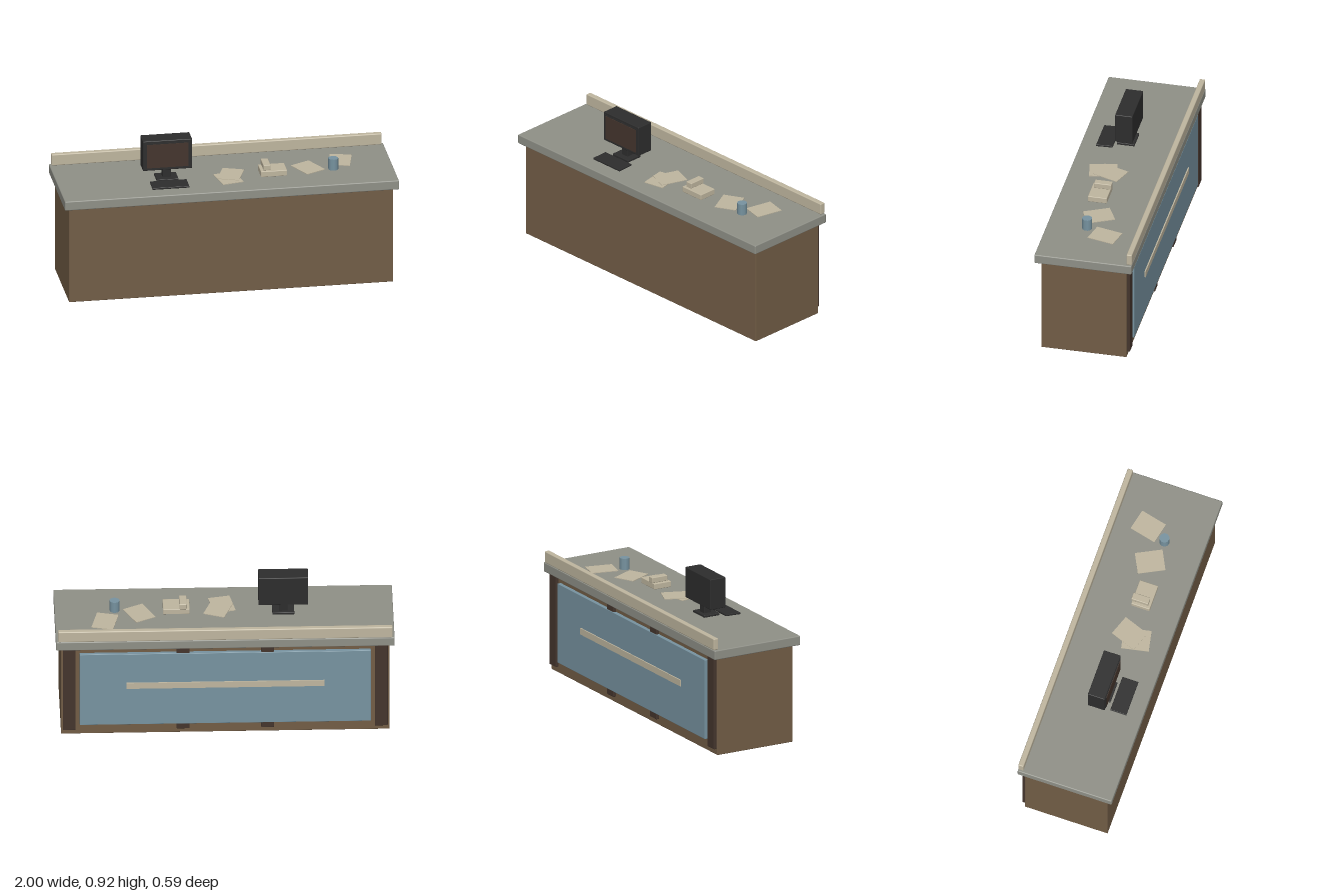
import * as THREE from 'three';
import { RoundedBoxGeometry } from 'three/addons/geometries/RoundedBoxGeometry.js';

function material(name, color) {
  const m = new THREE.MeshStandardMaterial({ color });
  m.name = name;
  return m;
}

export function createModel() {
  const brown = material('wood brown', 0x725d46);
  const darkBrown = material('dark brown', 0x44352d);
  const grey = material('counter grey', 0x8f9087);
  const cream = material('cream', 0xbfb69f);
  const blue = material('dusty blue', 0x7793a0);
  const black = material('charcoal', 0x2d2d2d);

  const desk = new THREE.Group();
  desk.name = 'receptionDesk';

  // Box given by its min and max on each axis, with softened edges when r > 0
  function box(name, mat, [x0, x1], [y0, y1], [z0, z1], r = 0, parent = desk) {
    const size = [x1 - x0, y1 - y0, z1 - z0];
    const geo = r ? new RoundedBoxGeometry(...size, 2, r) : new THREE.BoxGeometry(...size);
    const mesh = new THREE.Mesh(geo, mat);
    mesh.position.set((x0 + x1) / 2, (y0 + y1) / 2, (z0 + z1) / 2);
    mesh.name = name;
    parent.add(mesh);
    return mesh;
  }

  // Cabinet, counter and rear ledge
  box('body', brown, [-0.97, 0.97], [0, 0.602], [-0.257, 0.26], 0.004);
  box('countertop', grey, [-1, 1], [0.602, 0.66], [-0.293, 0.295], 0.006);
  box('rearLedge', cream, [-0.988, 0.988], [0.66, 0.731], [-0.293, -0.26], 0.006);

  // Rear face: four uprights, a wide panel over the middle two, and a rail
  for (const x of [-0.922, -0.25, 0.25, 0.922]) {
    box('upright', darkBrown, [x - 0.038, x + 0.038], [0.036, 0.602], [-0.276, -0.25], 0.004);
  }
  box('rearPanel', blue, [-0.86, 0.86], [0.072, 0.563], [-0.279, -0.25], 0.003);
  box('rearRail', cream, [-0.585, 0.585], [0.325, 0.364], [-0.286, -0.27]);

  // Computer
  const computer = new THREE.Group();
  computer.name = 'computer';
  desk.add(computer);
  box('monitorCase', black, [-0.497, -0.203], [0.732, 0.92], [-0.028, 0.077], 0.004, computer);
  box('screenBezel', black, [-0.483, -0.217], [0.744, 0.905], [0.07, 0.08], 0, computer);
  box('screen', darkBrown, [-0.475, -0.225], [0.75, 0.899], [0.076, 0.083], 0, computer);
  box('monitorNeck', black, [-0.375, -0.325], [0.668, 0.74], [0, 0.05], 0.003, computer);
  box('monitorBase', black, [-0.415, -0.285], [0.66, 0.674], [-0.022, 0.085], 0.003, computer);
  const keyboard = box('keyboard', black, [-0.46, -0.24], [0.661, 0.673], [0.1, 0.2], 0.003, computer);
  keyboard.rotation.x = 0.03;

  // Desk phone
  box('phoneBase', cream, [0.203, 0.36], [0.66, 0.696], [0, 0.115], 0.004);
  box('phoneHandset', cream, [0.22, 0.263], [0.696, 0.73], [-0.005, 0.1], 0.004);

  // Loose papers: x, z, turn, height
  const papers = [
    [0.01, 0.1, 0.2, 0.662],
    [0.033, 0.05, -0.35, 0.665],
    [0.5, 0.016, 0.47, 0.662],
    [0.705, -0.067, -0.23, 0.662],
  ];
  for (const [x, z, turn, y] of papers) {
    const sheet = new THREE.Mesh(new THREE.BoxGeometry(0.13, 0.004, 0.165), cream);
    sheet.position.set(x, y, z);
    sheet.rotation.y = turn;
    sheet.name = 'paper';
    desk.add(sheet);
  }

  // Cup
  const cup = new THREE.Mesh(new THREE.CylinderGeometry(0.03, 0.03, 0.07, 10), blue);
  cup.position.set(0.645, 0.695, 0.055);
  cup.name = 'cup';
  desk.add(cup);

  return desk;
}
